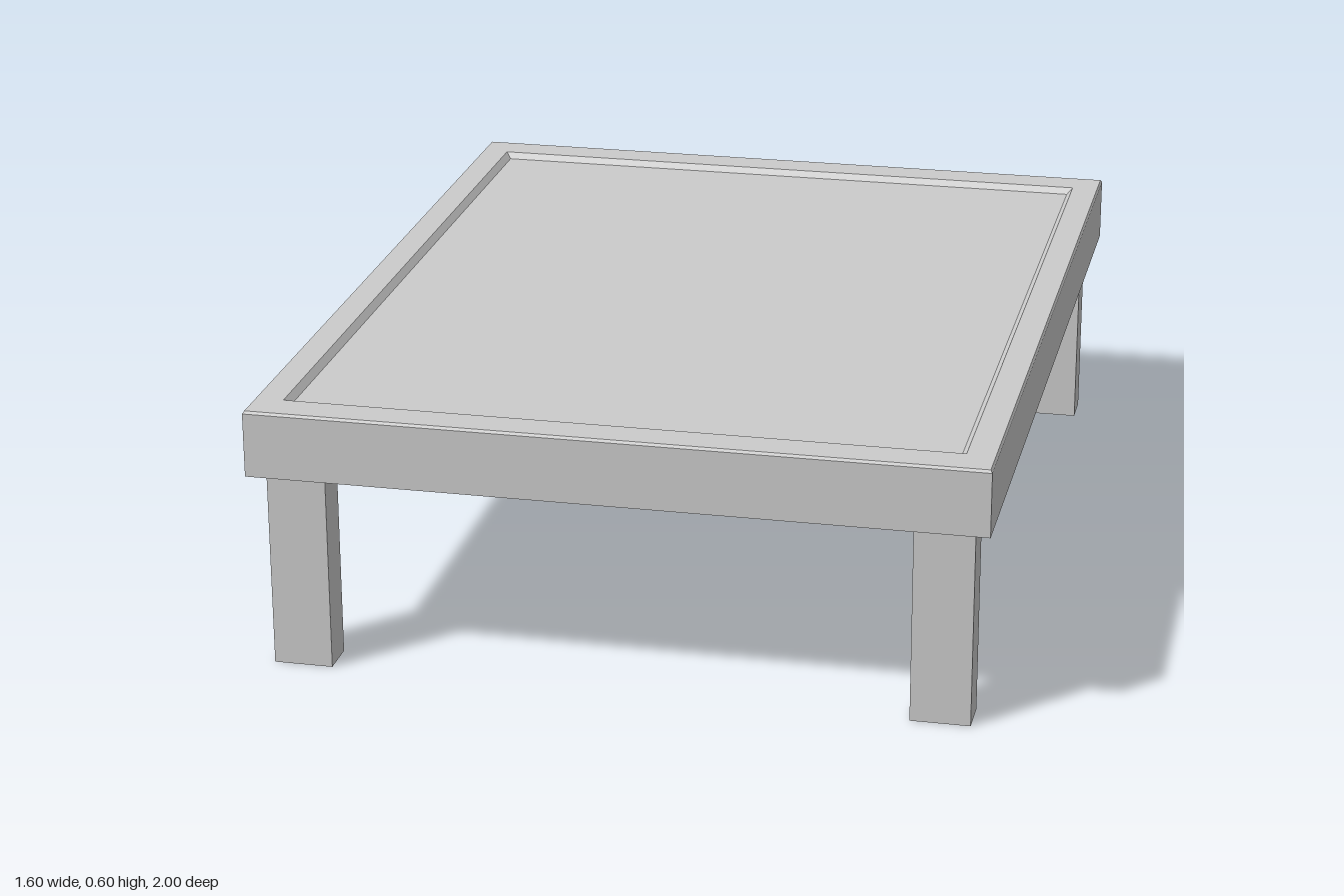
import * as THREE from 'three';

const material = new THREE.MeshStandardMaterial({ color: 0xcccccc, flatShading: true });
const openMaterial = new THREE.MeshStandardMaterial({ color: 0xcccccc, flatShading: true, side: THREE.DoubleSide });

// Skins a stack of horizontal rectangles [halfX, y, halfZ]; optional end caps.
function rectLoft(rings, capped) {
  const pos = [];
  const corners = ([x, y, z]) => [[x, y, z], [x, y, -z], [-x, y, -z], [-x, y, z]];
  const quad = (a, b, c, d) => pos.push(...a, ...b, ...c, ...a, ...c, ...d);
  const loops = rings.map(corners);
  for (let i = 0; i < loops.length - 1; i++) {
    for (let k = 0; k < 4; k++) {
      const n = (k + 1) % 4;
      quad(loops[i][k], loops[i][n], loops[i + 1][n], loops[i + 1][k]);
    }
  }
  if (capped) {
    const [a, b, c, d] = loops[0];
    quad(d, c, b, a);
    quad(...loops[loops.length - 1]);
  }
  const geometry = new THREE.BufferGeometry();
  geometry.setAttribute('position', new THREE.Float32BufferAttribute(pos, 3));
  geometry.computeVertexNormals();
  return geometry;
}

export function createModel() {
  const table = new THREE.Group();
  table.name = 'lowTable';

  // Slab: straight sides, fine top chamfer, flat rim, then a bevel down to the sunken panel
  const top = new THREE.Mesh(rectLoft([
    [0.8, 0.448, 1],
    [0.8, 0.591, 1],
    [0.796, 0.597, 0.996],
    [0.735, 0.597, 0.918],
    [0.722, 0.583, 0.905],
  ], true), material);
  top.name = 'tableTop';
  table.add(top);

  // Hollow legs, open at the foot
  const legGeometry = rectLoft([[0.065, 0, 0.0425], [0.065, 0.448, 0.0425]], false);
  for (const [side, sx] of [['Left', 1], ['Right', -1]]) {
    for (const [end, sz] of [['front', 1], ['back', -1]]) {
      const leg = new THREE.Mesh(legGeometry, openMaterial);
      leg.name = `${end}${side}Leg`;
      leg.position.set(sx * 0.7, 0, sz * 0.92);
      table.add(leg);
    }
  }
  return table;
}
